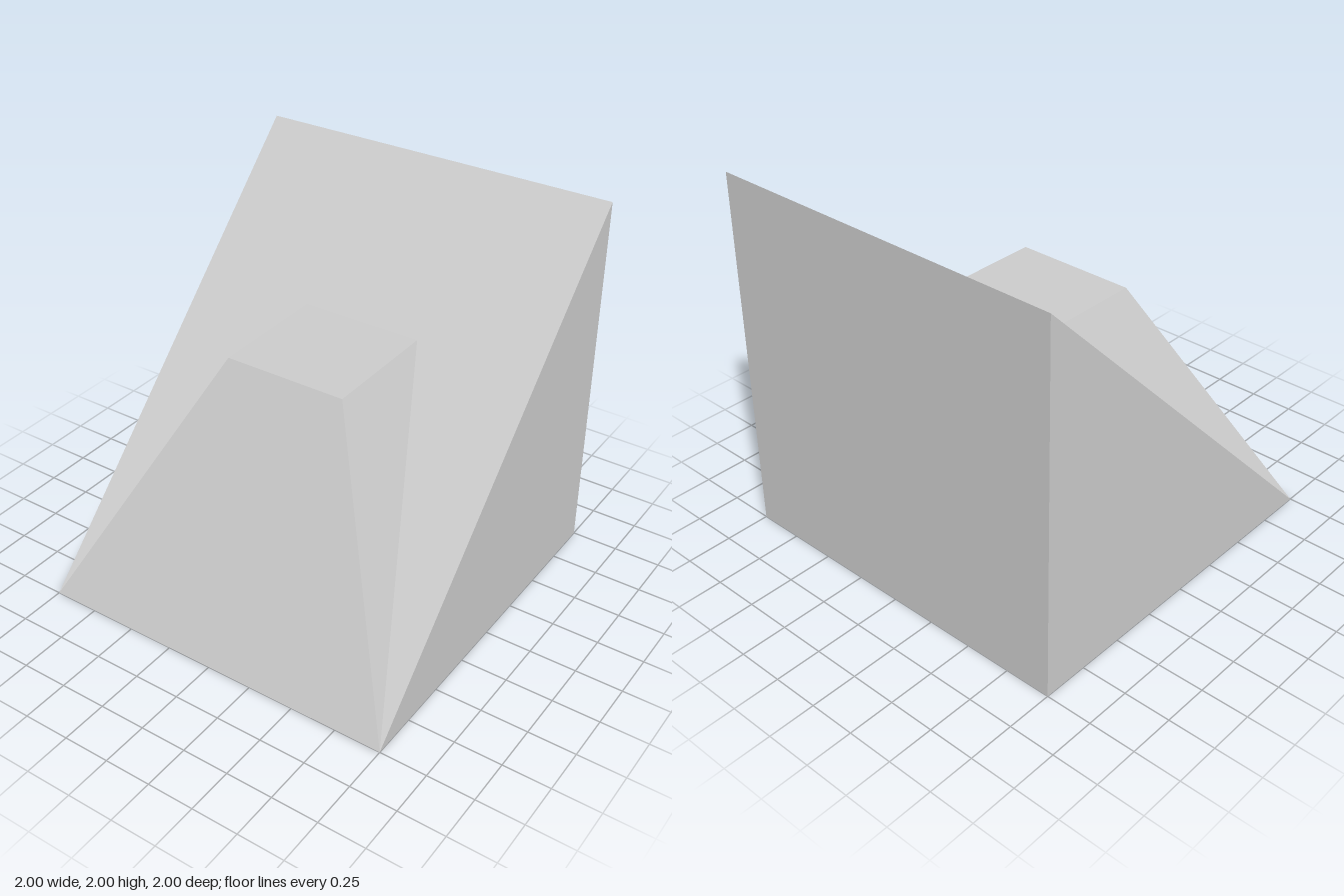
import * as THREE from 'three';

const material = new THREE.MeshStandardMaterial({ color: 0xcccccc, flatShading: true });

// Flat-shaded mesh from convex faces, each a counter-clockwise loop of corners.
function facetedMesh(name, faces) {
  const positions = [];
  for (const face of faces) {
    for (let i = 1; i < face.length - 1; i++) {
      positions.push(...face[0], ...face[i], ...face[i + 1]);
    }
  }
  const geometry = new THREE.BufferGeometry();
  geometry.setAttribute('position', new THREE.Float32BufferAttribute(positions, 3));
  geometry.computeVertexNormals();
  const mesh = new THREE.Mesh(geometry, material);
  mesh.name = name;
  return mesh;
}

// The same face on the other side of x = 0, kept facing outwards.
const mirrorX = (face) => face.map(([x, y, z]) => [-x, y, z]).reverse();
const bothSides = (face) => [face, mirrorX(face)];

export function createModel() {
  const t = 1 / 3; // half width of the flat top
  const h = 4 / 3; // height of the flat top

  // Wedge, with its slope left open where the tapered block rises from it
  const wedge = facetedMesh('wedge', [
    [[-1, 0, -1], [1, 0, -1], [1, 0, 1], [-1, 0, 1]], // bottom
    [[1, 0, -1], [-1, 0, -1], [-1, 2, -1], [1, 2, -1]], // back
    ...bothSides([[1, 0, 1], [1, 0, -1], [1, 2, -1]]), // sides
    [[-t, h, -t], [t, h, -t], [1, 2, -1], [-1, 2, -1]], // slope above the block
    ...bothSides([[1, 0, 1], [1, 2, -1], [t, h, -t]]), // slope beside the block
  ]);

  // Tapered block standing out of the slope
  const block = facetedMesh('taperedBlock', [
    [[-1, 0, 1], [1, 0, 1], [t, h, t], [-t, h, t]], // front
    [[-t, h, t], [t, h, t], [t, h, -t], [-t, h, -t]], // flat top
    ...bothSides([[1, 0, 1], [t, h, -t], [t, h, t]]), // sides
  ]);

  const model = new THREE.Group();
  model.name = 'wedgeWithTaperedBlock';
  model.add(wedge, block);
  return model;
}
